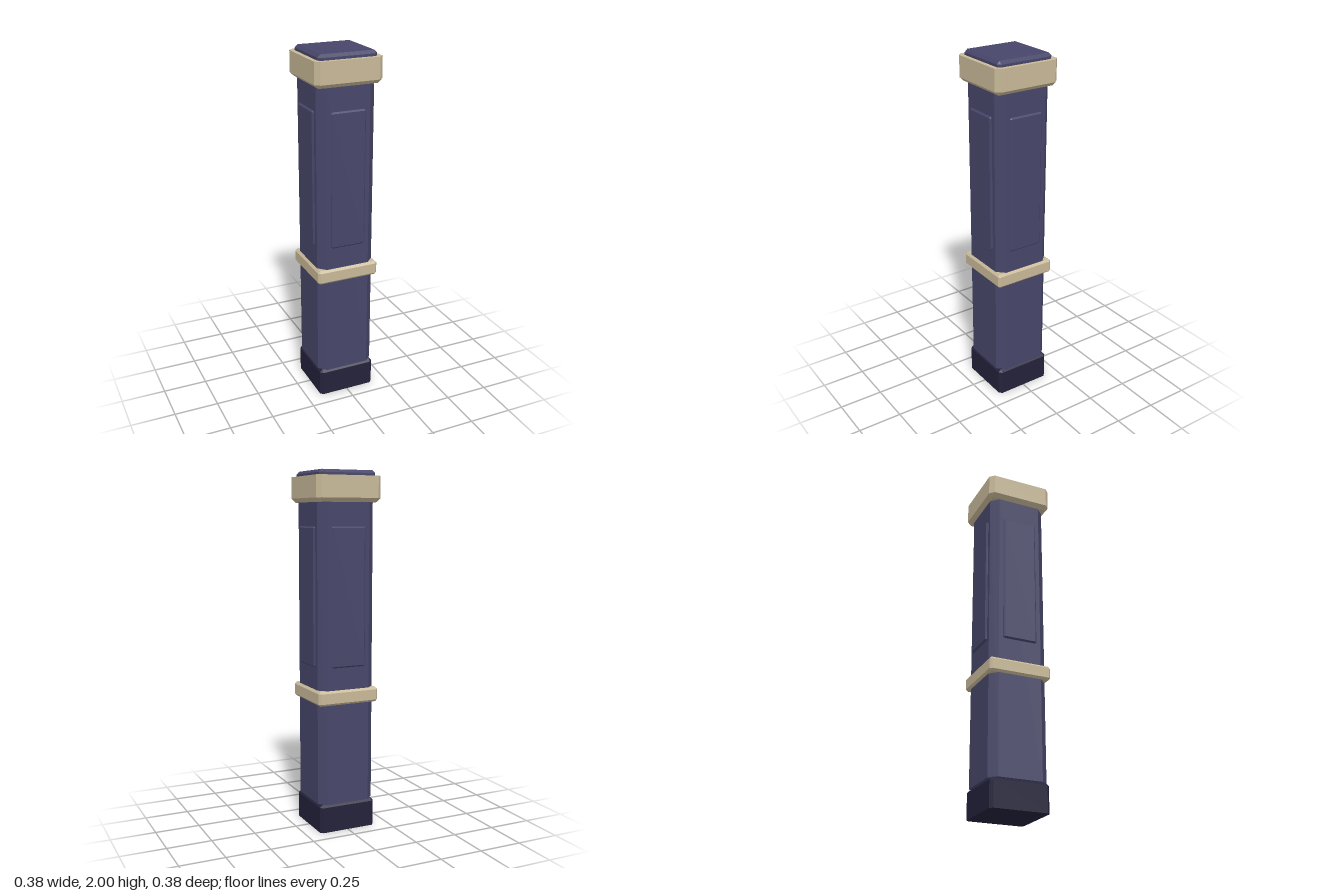
import * as THREE from 'three';

// Flat-shaded solid lofted through corner-cut rectangles: rings of [y, halfX, halfZ, cornerCut], bottom to top
function loft(rings) {
  const outlines = rings.map(([y, a, b, c]) => [
    [a, b - c], [a - c, b], [c - a, b], [-a, b - c],
    [-a, c - b], [c - a, -b], [a - c, -b], [a, c - b],
  ].map(([x, z]) => new THREE.Vector3(x, y, z)));
  const points = [];
  const tri = (a, b, c) => {
    const area = b.clone().sub(a).cross(c.clone().sub(a)).length();
    if (area > 1e-9) points.push(a, b, c);
  };
  for (let r = 0; r + 1 < outlines.length; r++) {
    const low = outlines[r], high = outlines[r + 1];
    for (let i = 0; i < 8; i++) {
      const j = (i + 1) % 8;
      tri(low[i], high[i], high[j]);
      tri(low[i], high[j], low[j]);
    }
  }
  const bottom = outlines[0], top = outlines[outlines.length - 1];
  for (let i = 1; i < 7; i++) {
    tri(bottom[0], bottom[i], bottom[i + 1]);
    tri(top[0], top[i + 1], top[i]);
  }
  const geometry = new THREE.BufferGeometry().setFromPoints(points);
  geometry.computeVertexNormals();
  return geometry;
}

// Square-section ring
const sq = (y, half, cut) => [y, half, half, cut];

export function createModel() {
  const navy = new THREE.MeshStandardMaterial({ color: 0x47466a });
  const darkNavy = new THREE.MeshStandardMaterial({ color: 0x23223b });
  const sand = new THREE.MeshStandardMaterial({ color: 0xc8b998 });
  navy.name = 'navy';
  darkNavy.name = 'darkNavy';
  sand.name = 'sand';

  const model = new THREE.Group();
  model.name = 'pillar';
  const add = (name, geometry, material) => {
    const mesh = new THREE.Mesh(geometry, material);
    mesh.name = name;
    model.add(mesh);
    return mesh;
  };

  // Plinth with bevelled upper edge
  add('base', loft([sq(0, 0.167, 0.016), sq(0.145, 0.167, 0.016), sq(0.161, 0.151, 0)]), darkNavy);

  // Shaft with wide corner chamfers
  add('shaft', loft([sq(0.16, 0.167, 0.042), sq(1.84, 0.167, 0.042)]), navy);

  // Waist band, bevelled above and below
  add('waistBand', loft([
    sq(0.728, 0.168, 0), sq(0.74, 0.18, 0.012), sq(0.798, 0.18, 0.012), sq(0.81, 0.168, 0),
  ]), sand);

  // Collar with a tapered underside
  add('collar', loft([sq(1.83, 0.168, 0), sq(1.852, 0.192, 0.025), sq(1.97, 0.192, 0.025)]), sand);

  // Top slab
  add('topSlab', loft([sq(1.96, 0.167, 0.016), sq(1.984, 0.167, 0.016), sq(2, 0.151, 0)]), navy);

  // One raised panel on each face
  const panelGeometry = loft([
    [0.155, 0.1, 0.383, 0.008], [0.169, 0.1, 0.383, 0.008], [0.177, 0.092, 0.375, 0],
  ]);
  panelGeometry.rotateX(Math.PI / 2);
  ['front', 'left', 'back', 'right'].forEach((side, i) => {
    const panel = add(side + 'Panel', panelGeometry, navy);
    panel.position.y = 1.318;
    panel.rotation.y = i * Math.PI / 2;
  });

  return model;
}
